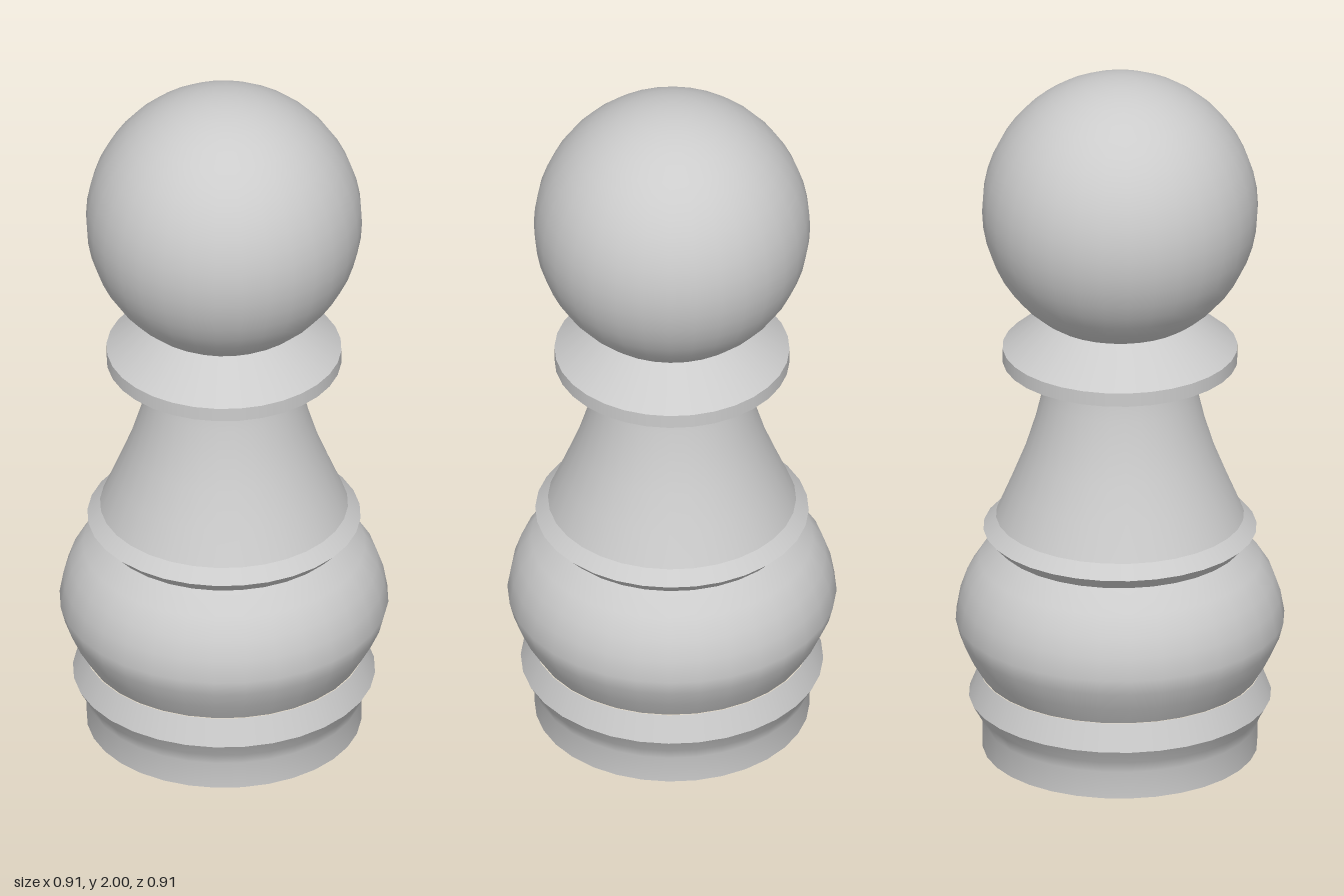
import * as THREE from 'three';

const SIDES = 32;

export function createModel() {
  const pawn = new THREE.Group();
  pawn.name = 'pawn';
  const material = new THREE.MeshStandardMaterial({ color: 0xcccccc });

  // Each part is a list of [radius, height] runs; a new run starts a sharp edge
  const turned = (name, ...runs) => {
    const part = new THREE.Group();
    part.name = name;
    for (const run of runs) {
      const points = run.map(([r, y]) => new THREE.Vector2(r, y));
      const mesh = new THREE.Mesh(new THREE.LatheGeometry(points, SIDES), material);
      mesh.name = name + 'Surface';
      part.add(mesh);
    }
    pawn.add(part);
  };

  // Foot with a flared rim
  turned('base',
    [[0, 0], [0.38, 0]],
    [[0.38, 0], [0.381, 0.08], [0.395, 0.115], [0.418, 0.155]],
    [[0.418, 0.155], [0.388, 0.23]]);

  // Rounded bulge
  turned('belly',
    [[0.385, 0.23], [0.418, 0.285], [0.443, 0.34], [0.455, 0.387], [0.444, 0.45],
      [0.425, 0.505], [0.39, 0.56], [0.33, 0.62]]);

  // Sharp ring under a concave tapering stem
  turned('stem',
    [[0.30, 0.62], [0.344, 0.62]],
    [[0.344, 0.62], [0.378, 0.656]],
    [[0.378, 0.656], [0.343, 0.693]],
    [[0.343, 0.693], [0.302, 0.79], [0.262, 0.89], [0.234, 0.98], [0.215, 1.06],
      [0.205, 1.12], [0.203, 1.16]]);

  // Collar with a flat underside and sloped top
  turned('collar',
    [[0.19, 1.16], [0.325, 1.16]],
    [[0.325, 1.16], [0.325, 1.2]],
    [[0.325, 1.2], [0.208, 1.298]],
    [[0.208, 1.298], [0.17, 1.298]]);

  // Ball on top
  const head = new THREE.Mesh(new THREE.SphereGeometry(0.382, SIDES, 24), material);
  head.name = 'head';
  head.position.y = 1.618;
  pawn.add(head);

  return pawn;
}
